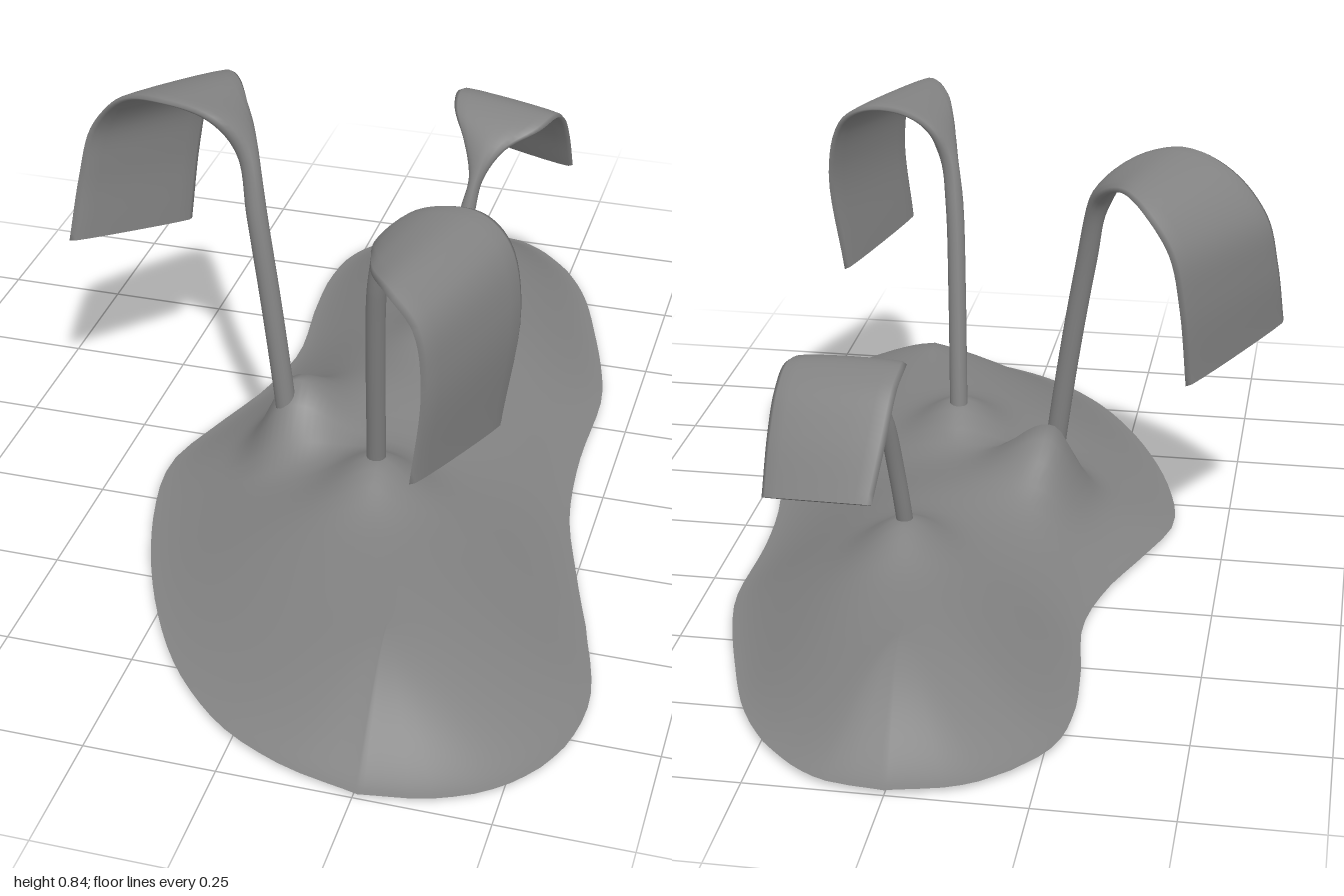
import * as THREE from 'three';
import { mergeVertices } from 'three/addons/utils/BufferGeometryUtils.js';

const V = (p) => new THREE.Vector3(...p);
const { lerp, smoothstep } = THREE.MathUtils;

// Skin a list of closed rings of points; solid skins get end caps
function skin(name, rings, solid) {
  const n = rings[0].length, index = [];
  const points = rings.flat();
  for (let i = 0; i < rings.length - 1; i++) {
    for (let j = 0; j < n; j++) {
      const a = i * n + j, b = i * n + (j + 1) % n;
      index.push(a, b, a + n, b, b + n, a + n);
    }
  }
  if (solid) {
    // Separate cap vertices keep the end edges crisp
    for (const [ring, flip] of [[rings[0], true], [rings[rings.length - 1], false]]) {
      const s = points.length;
      points.push(...ring);
      for (let j = 1; j < n - 1; j++) {
        if (flip) index.push(s, s + j + 1, s + j);
        else index.push(s, s + j, s + j + 1);
      }
    }
  }
  let geo = new THREE.BufferGeometry().setFromPoints(points);
  geo.setIndex(index);
  if (!solid) geo = mergeVertices(geo);
  geo.computeVertexNormals();
  const mesh = new THREE.Mesh(geo, new THREE.MeshStandardMaterial({ color: 0x828282, side: THREE.DoubleSide }));
  mesh.name = name;
  return mesh;
}

// A round stem that widens into a thin drooping blade, lofted between two edge curves
function leaf(name, radius, stem, left, right) {
  const L = left.map(V), R = right.map(V);
  const side = R[0].clone().sub(L[0]).setY(0).normalize().multiplyScalar(radius);
  const stemPoints = stem.map(V);
  const leftCurve = new THREE.CatmullRomCurve3([...stemPoints.map((p) => p.clone().sub(side)), ...L]);
  const rightCurve = new THREE.CatmullRomCurve3([...stemPoints.map((p) => p.clone().add(side)), ...R]);
  const steps = 60, sides = 16, rings = [];
  const mid = (t) => leftCurve.getPoint(t).add(rightCurve.getPoint(t)).multiplyScalar(0.5);
  for (let i = 0; i <= steps; i++) {
    const t = i / steps;
    const half = rightCurve.getPoint(t).sub(leftCurve.getPoint(t)).multiplyScalar(0.5);
    const tangent = mid(Math.min(1, t + 0.01)).sub(mid(Math.max(0, t - 0.01)));
    const blade = smoothstep(half.length(), radius, 0.1);
    const normal = tangent.cross(half).normalize().multiplyScalar(lerp(radius, 0.009, blade));
    const ring = [];
    for (let j = 0; j < sides; j++) {
      const a = (j / sides) * Math.PI * 2, s = Math.sin(a);
      // The section squares off as it flattens
      const h = Math.sign(s) * Math.pow(Math.abs(s), 1 - 0.5 * blade);
      ring.push(mid(t).addScaledVector(half, Math.cos(a)).addScaledVector(normal, h));
    }
    rings.push(ring);
  }
  return skin(name, rings, true);
}

// Smooth lookup through [position, value] pairs
function lookup(table, x) {
  let i = 1;
  while (i < table.length - 1 && x > table[i][0]) i++;
  const [x0, v0] = table[i - 1], [x1, v1] = table[i];
  return lerp(v0, v1, smoothstep(x, x0, x1));
}

// Dense [z, x] table of one side of the ground outline, from back to front
function outlineSide(points) {
  return new THREE.CatmullRomCurve3(points.map(([x, z]) => V([x, 0, z]))).getPoints(200).map((p) => [p.z, p.x]);
}

// Open shell of ground with a small rise around each stem
function mound() {
  const leftSide = outlineSide([
    [0, -1], [0.12, -0.98], [0.23, -0.89], [0.3, -0.78], [0.35, -0.65], [0.41, -0.45], [0.43, -0.34],
    [0.43, -0.1], [0.45, 0.1], [0.5, 0.28], [0.56, 0.47], [0.6, 0.65], [0.575, 0.8], [0.5, 0.91],
    [0.39, 0.975], [0.26, 1]]);
  const rightSide = outlineSide([
    [0, -1], [-0.14, -0.955], [-0.26, -0.82], [-0.285, -0.7], [-0.28, -0.55], [-0.26, -0.35],
    [-0.29, -0.18], [-0.34, -0.04], [-0.39, 0.13], [-0.36, 0.33], [-0.27, 0.57], [-0.15, 0.77],
    [-0.03, 0.89], [0.1, 0.96], [0.26, 1]]);

  // Both sides share the same z stations, so they meet exactly along the spine
  const edge = [], half = 56;
  for (let j = 0; j < half * 2; j++) {
    const z = -Math.cos((j / half) * Math.PI);
    edge.push({ x: lookup(j <= half ? leftSide : rightSide, z), z });
  }
  const spineX = [[-0.7, 0.03], [-0.35, 0.09], [0, 0.04], [0.3, 0.1], [0.7, 0.23]];
  const spineY = [[-0.7, 0.14], [-0.4, 0.15], [-0.1, 0.145], [0.15, 0.125], [0.4, 0.14], [0.7, 0.135]];
  // Rises: centre x and z, height, then spread toward -x, +x, -z and +z
  const rises = [
    [-0.14, 0.1, 0.13, 0.06, 0.11, 0.14, 0.075],
    [0.09, 0.265, 0.065, 0.09, 0.09, 0.08, 0.1],
    [0.09, -0.34, 0.05, 0.08, 0.08, 0.1, 0.08]];
  const rings = [], steps = 32;
  for (let i = 0; i <= steps; i++) {
    const k = i / steps;
    rings.push(edge.map((e) => {
      const sz = e.z * 0.7;
      const x = lerp(lookup(spineX, sz), e.x, k);
      const z = lerp(sz, e.z, k);
      let y = 0.007 + lookup(spineY, sz) * Math.pow(1 - k * k, 1.5);
      for (const [rx, rz, height, west, east, back, front] of rises) {
        const dx = (x - rx) / (x < rx ? west : east);
        const dz = (z - rz) / (z < rz ? back : front);
        y += height * Math.exp(-dx * dx - dz * dz) * (1 - k ** 6);
      }
      return V([x, y, z]);
    }));
  }
  return skin('mound', rings, false);
}

export function createModel() {
  const model = new THREE.Group();
  model.name = 'leafyMound';
  model.add(mound());

  model.add(leaf('rightLeaf', 0.021,
    [[-0.12, 0, 0.13], [-0.145, 0.22, 0.118], [-0.173, 0.42, 0.105], [-0.203, 0.6, 0.088]],
    [[-0.24, 0.73, 0.083], [-0.29, 0.805, 0.102], [-0.39, 0.835, 0.112], [-0.49, 0.805, 0.07],
      [-0.56, 0.725, 0.05], [-0.585, 0.62, 0.065], [-0.6, 0.49, 0.1]],
    [[-0.215, 0.72, 0.045], [-0.245, 0.77, -0.01], [-0.295, 0.8, -0.1], [-0.34, 0.78, -0.16],
      [-0.39, 0.71, -0.183], [-0.413, 0.6, -0.178], [-0.427, 0.435, -0.15]]));

  model.add(leaf('frontLeaf', 0.019,
    [[0.08, 0, 0.235], [0.09, 0.2, 0.265], [0.1, 0.42, 0.307], [0.112, 0.62, 0.345]],
    [[0.135, 0.72, 0.345], [0.17, 0.785, 0.335], [0.23, 0.815, 0.335], [0.31, 0.815, 0.34],
      [0.365, 0.775, 0.36], [0.393, 0.66, 0.385], [0.37, 0.43, 0.42]],
    [[0.118, 0.71, 0.38], [0.135, 0.765, 0.46], [0.165, 0.795, 0.57], [0.215, 0.805, 0.65],
      [0.268, 0.76, 0.68], [0.287, 0.65, 0.695], [0.272, 0.468, 0.71]]));

  model.add(leaf('backLeaf', 0.016,
    [[0.08, 0, -0.3], [0.09, 0.2, -0.34], [0.102, 0.32, -0.362], [0.112, 0.41, -0.385]],
    [[0.138, 0.475, -0.405], [0.18, 0.54, -0.43], [0.245, 0.575, -0.47], [0.27, 0.585, -0.52],
      [0.277, 0.555, -0.58], [0.28, 0.49, -0.63], [0.28, 0.39, -0.685]],
    [[0.108, 0.475, -0.41], [0.085, 0.54, -0.45], [0.052, 0.585, -0.5], [0.043, 0.6, -0.55],
      [0.047, 0.58, -0.61], [0.055, 0.51, -0.67], [0.07, 0.41, -0.73]]));

  return model;
}
